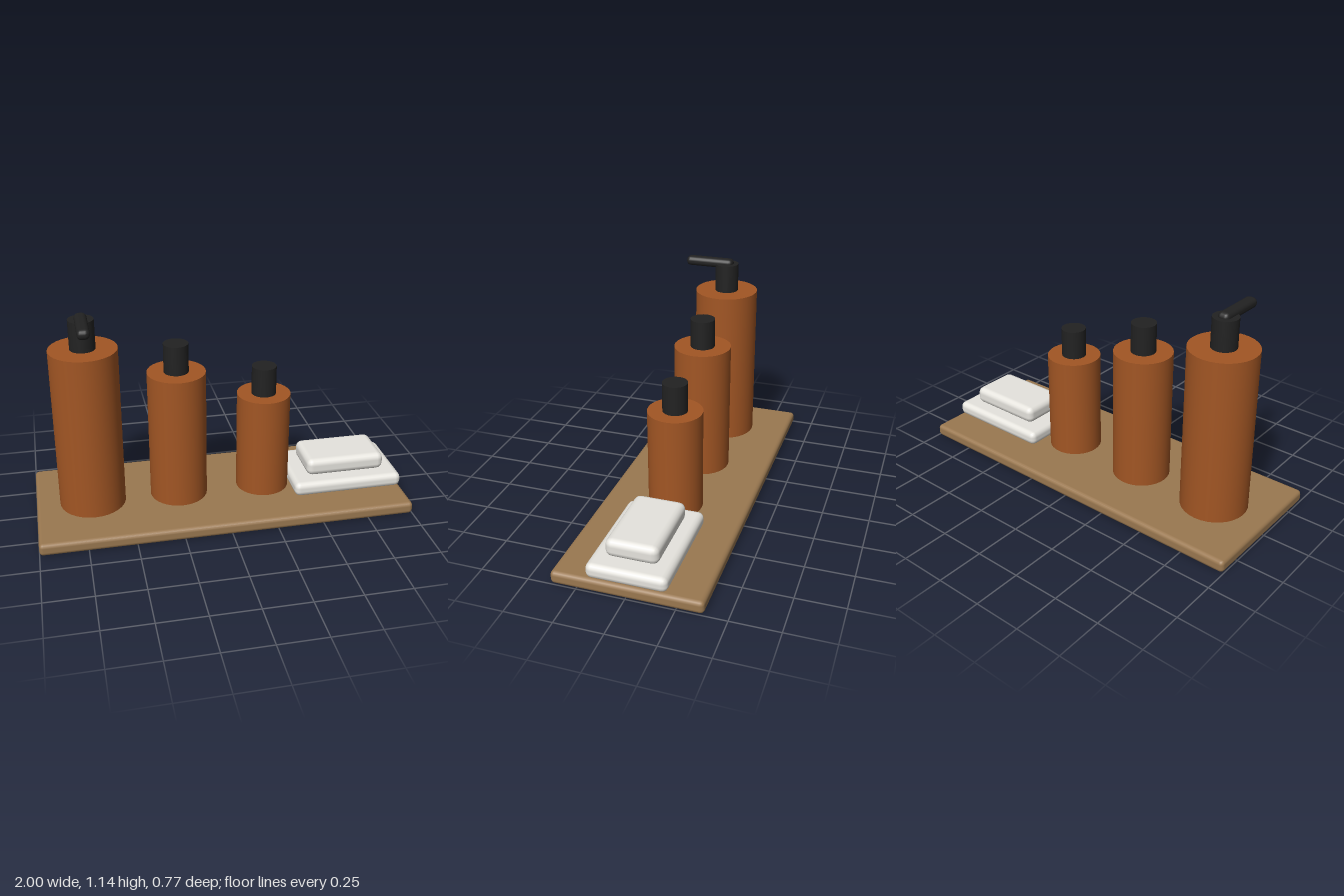
import * as THREE from 'three';
import { RoundedBoxGeometry } from 'three/addons/geometries/RoundedBoxGeometry.js';

const material = (name, color) => {
  const m = new THREE.MeshStandardMaterial({ color });
  m.name = name;
  return m;
};

export function createModel() {
  const wood = material('wood', 0x9a7850);
  const amber = material('amber', 0xa25624);
  const black = material('black', 0x222222);
  const cloth = material('cloth', 0xe6e4de);

  const group = new THREE.Group();
  group.name = 'bathroomTray';

  const add = (name, geometry, mat, x, y, z, parent = group) => {
    const mesh = new THREE.Mesh(geometry, mat);
    mesh.name = name;
    mesh.position.set(x, y, z);
    parent.add(mesh);
    return mesh;
  };
  // Rounded slab placed by its bottom height
  const slab = (name, mat, w, h, d, r, x, bottom, z = 0, parent = group) =>
    add(name, new RoundedBoxGeometry(w, h, d, 2, r), mat, x, bottom + h / 2, z, parent);

  // Tray
  const trayTop = 0.068;
  slab('tray', wood, 2, trayTop, 0.77, 0.022, 0, 0);

  // Bottles in descending size, each with a cylindrical cap
  const capHeight = 0.157;
  const bottles = [
    { name: 'tallBottle', x: -0.697, radius: 0.177, top: 0.957 },
    { name: 'mediumBottle', x: -0.225, radius: 0.155, top: 0.791 },
    { name: 'smallBottle', x: 0.247, radius: 0.144, top: 0.625 },
  ].map(({ name, x, radius, top }) => {
    const bottle = new THREE.Group();
    bottle.name = name;
    bottle.position.x = x;
    group.add(bottle);
    const height = top - trayTop;
    add('bottleBody', new THREE.CylinderGeometry(radius, radius, height, 32), amber,
      0, trayTop + height / 2, 0, bottle);
    add('bottleCap', new THREE.CylinderGeometry(0.066, 0.066, capHeight, 24), black,
      0, top + capHeight / 2, 0, bottle);
    return bottle;
  });

  // Pump spout on the tall bottle, pointing forward
  slab('pumpSpout', black, 0.064, 0.053, 0.275, 0.024, 0, 1.088, 0.1, bottles[0]);

  // Folded towels
  slab('lowerTowel', cloth, 0.608, 0.08, 0.412, 0.032, 0.692, trayTop);
  slab('upperTowel', cloth, 0.44, 0.098, 0.272, 0.036, 0.693, 0.148);

  return group;
}
